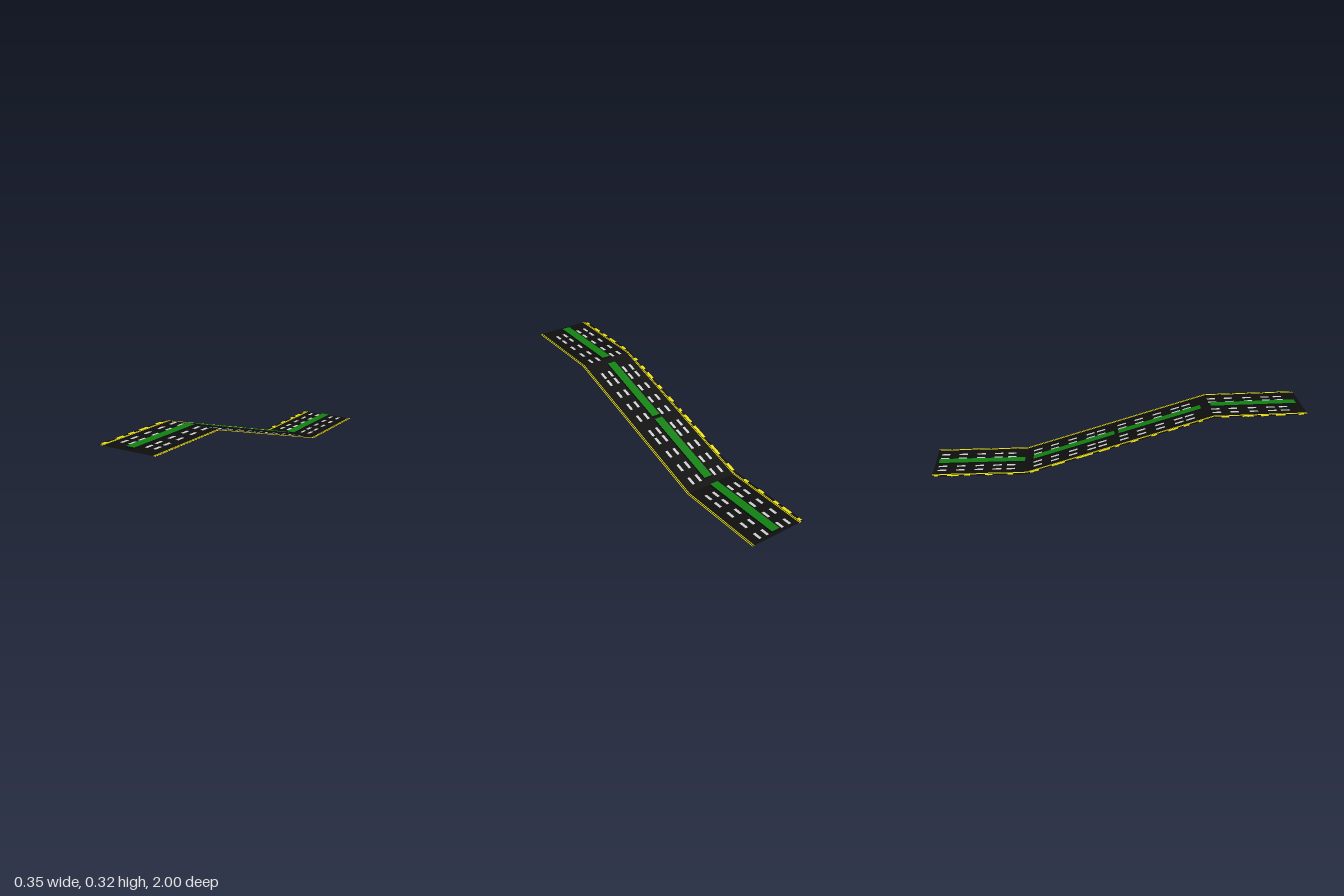
import * as THREE from 'three';
import { mergeGeometries } from 'three/addons/utils/BufferGeometryUtils.js';

const HALF = 0.165;
const BREAKS = [-1, -0.5, 0.5, 1]; // ends of the low, sloping and high stretches
const LEVELS = [0.001, 0.001, 0.304, 0.31];

// Height of the road surface at z
function height(z) {
  const i = z < -0.5 ? 0 : z < 0.5 ? 1 : 2;
  return THREE.MathUtils.mapLinear(z, BREAKS[i], BREAKS[i + 1], LEVELS[i], LEVELS[i + 1]);
}

// Lays a geometry on the road: follow its slope and slight sideways skew
function lay(geometry) {
  const p = geometry.attributes.position;
  for (let i = 0; i < p.count; i++) {
    const z = p.getZ(i);
    p.setXYZ(i, p.getX(i) - 0.003 - 0.008 * z, p.getY(i) + height(z), z);
  }
  geometry.computeVertexNormals();
  return geometry;
}

// Slab between two z values, showing on both sides of the road sheet
function slab(x, width, z0, z1, top = 0.001) {
  const g = new THREE.BoxGeometry(width, top + 0.001, z1 - z0);
  g.translate(x, (top - 0.001) / 2, (z0 + z1) / 2);
  return lay(g);
}

export function createModel() {
  const model = new THREE.Group();
  const paint = (color) => new THREE.MeshStandardMaterial({ color });
  const black = paint(0x0e0e0e);
  const green = paint(0x118011);
  const yellow = paint(0xe8de10);
  const white = paint(0xcccccc);
  const add = (name, geometry, material) => {
    const mesh = new THREE.Mesh(geometry, material);
    mesh.name = name;
    model.add(mesh);
  };

  // Road sheet, one flat piece per stretch
  const asphalt = black.clone();
  asphalt.side = THREE.DoubleSide;
  const stretches = [0, 1, 2].map((i) => {
    const length = BREAKS[i + 1] - BREAKS[i];
    const g = new THREE.PlaneGeometry(2 * HALF, length).rotateX(-Math.PI / 2);
    return lay(g.translate(0, 0, BREAKS[i] + length / 2));
  });
  add('roadSurface', mergeGeometries(stretches), asphalt);

  // Raised green medians with dark kerb sides
  const medians = [[-0.98, -0.51], [-0.463, -0.017], [0.005, 0.452], [0.505, 0.97]];
  medians.forEach(([z0, z1], i) => {
    add(`median${i + 1}`, slab(0, 0.048, z0, z1, 0.01), [black, black, green, green, black, black]);
  });

  // White lane dashes, two lanes lines on each side of the median
  const rows = [
    -0.955, -0.857, -0.757, -0.66, -0.585, -0.44, -0.345, -0.245, -0.145, -0.085,
    0.03, 0.125, 0.225, 0.325, 0.385, 0.525, 0.62, 0.725, 0.825, 0.895,
  ];
  const dashes = [];
  for (const z of rows) {
    for (const x of [-0.095, -0.048, 0.048, 0.095]) dashes.push(slab(x, 0.015, z - 0.023, z + 0.023));
  }
  add('laneDashes', mergeGeometries(dashes), white);

  // Double yellow edge lines
  const lines = [];
  for (const x of [-0.148, -0.14, 0.153, 0.162]) {
    for (let i = 0; i < 3; i++) lines.push(slab(x, 0.004, BREAKS[i] + 1e-4, BREAKS[i + 1] - 1e-4));
  }
  add('edgeLines', mergeGeometries(lines), yellow);

  // Irregular yellow patches along the left-hand shoulder in the front view
  const patches = [
    [-0.99, 0.02], [-0.92, 0.06], [-0.83, 0.03], [-0.72, 0.04], [-0.6, 0.03],
    [-0.48, 0.05], [-0.36, 0.07], [-0.23, 0.09], [-0.11, 0.06], [-0.02, 0.02],
    [0.06, 0.04], [0.17, 0.03], [0.26, 0.05], [0.34, 0.03], [0.42, 0.02],
    [0.54, 0.04], [0.65, 0.06], [0.75, 0.04], [0.83, 0.05], [0.95, 0.03],
  ];
  add('shoulderPatches', mergeGeometries(patches.map(([z, l]) => slab(-0.157, 0.013, z, z + l))), yellow);

  return model;
}
